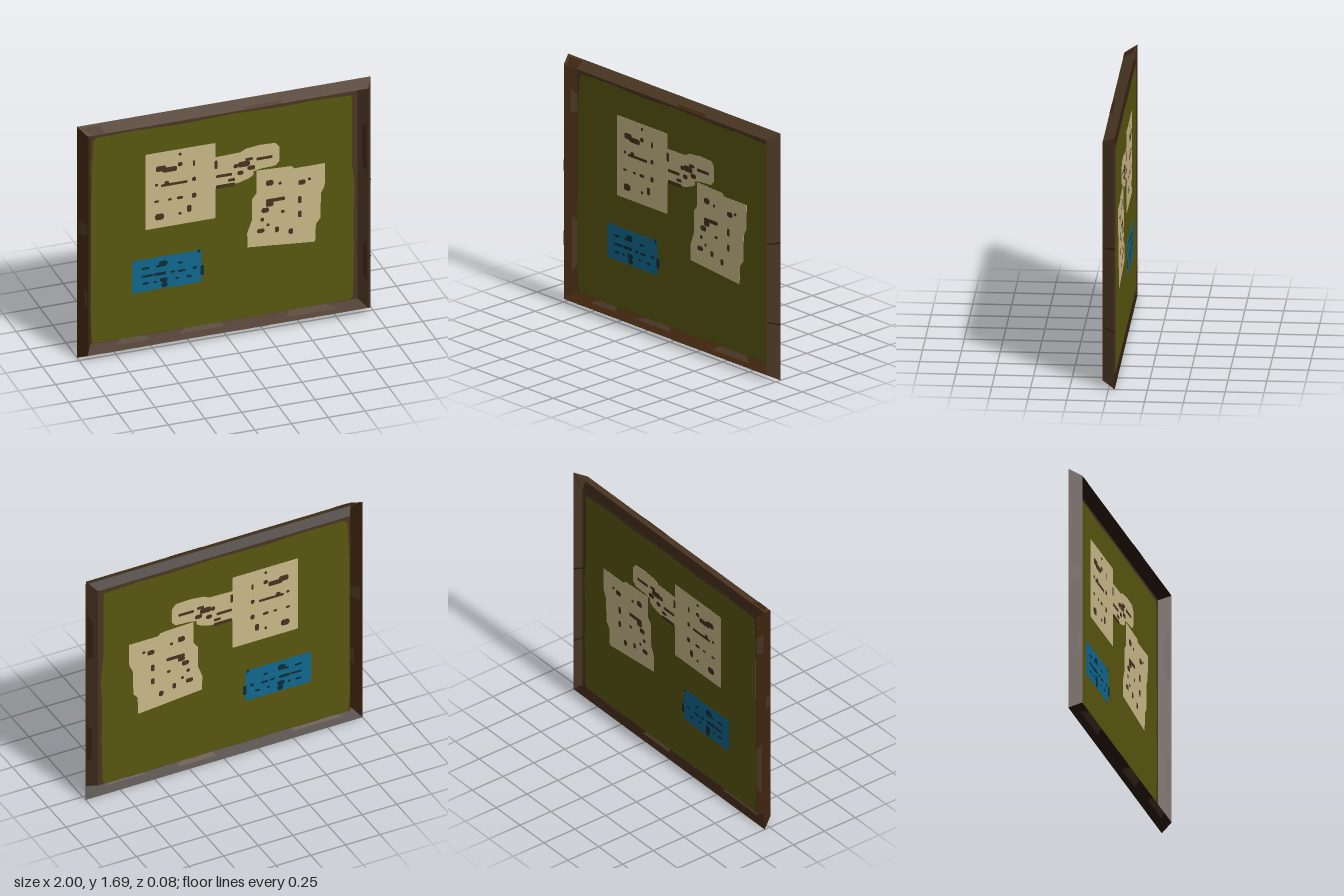
import * as THREE from 'three';

const mat = (name, color) => {
  const m = new THREE.MeshStandardMaterial({ color, side: THREE.DoubleSide });
  m.name = name;
  return m;
};

export function createModel() {
  const wood = mat('brown wood', 0x40260f);
  const worn = mat('worn wood', 0x4a3623);
  const darkWood = mat('dark wood', 0x2a190c);
  const felt = mat('olive felt', 0x58560f);
  const cream = mat('cream paper', 0xc9b988);
  const blue = mat('blue paper', 0x0f678e);
  const ink = mat('brown ink', 0x46331f);
  const blueInk = mat('dark blue ink', 0x0c2c38);

  const group = new THREE.Group();
  const add = (parent, name, geometry, material) => {
    const mesh = new THREE.Mesh(geometry, material);
    mesh.name = name;
    parent.add(mesh);
    return mesh;
  };
  const polygon = (points) => {
    const g = new THREE.BufferGeometry().setFromPoints(points);
    const index = [];
    for (let i = 1; i < points.length - 1; i++) index.push(0, i, i + 1);
    g.setIndex(index);
    g.computeVertexNormals();
    return g;
  };

  // Hollow moulding: outer slope up to a ridge, then inner slope down to the board
  const rect = (x0, x1, y0, y1, z) =>
    [[x0, y0], [x1, y0], [x1, y1], [x0, y1]].map(([x, y]) => new THREE.Vector3(x, y, z));
  const outer = rect(-1, 1, 0, 1.69, -0.04);
  const ridge = rect(-0.955, 0.955, 0.045, 1.65, 0.04);
  const inner = rect(-0.91, 0.91, 0.083, 1.608, -0.038);
  const frame = new THREE.Group();
  frame.name = 'frame';
  group.add(frame);
  const sides = ['bottom', 'right', 'top', 'left'];
  const ring = (label, a, b, mats) => sides.forEach((side, i) => {
    const j = (i + 1) % 4;
    add(frame, side + label, polygon([a[i], a[j], b[j], b[i]]), mats[i]);
  });
  ring('OuterSlope', outer, ridge, [darkWood, worn, worn, wood]);
  ring('InnerSlope', ridge, inner, [wood, worn, darkWood, wood]);

  // Worn patches lying on both faces of a slope; s runs along the side, t across it
  const patch = (a, b, i, s0, s1, t0, t1, material) => {
    const j = (i + 1) % 4;
    const at = (s, t) => a[i].clone().lerp(a[j], s).lerp(b[i].clone().lerp(b[j], s), t);
    const d = (s1 - s0) * 0.12;
    const pts = [at(s0, t0), at(s1, t0), at(s1 - d / 2, (t0 + t1) / 2), at(s1 - d, t1), at(s0 + d, t1)];
    const n = a[j].clone().sub(a[i]).cross(b[i].clone().sub(a[i])).normalize();
    for (const k of [-0.0015, 0.0015]) {
      add(frame, 'wornPatch', polygon(pts.map((p) => p.clone().addScaledVector(n, k))), material);
    }
  };
  [
    [0, 0.05, 0.24, 0.5, 1, worn], [0, 0.52, 0.66, 0.4, 1, worn], [0, 0.78, 0.93, 0.6, 1, worn],
    [1, 0.222, 0.228, 0, 1, darkWood], [1, 0.553, 0.56, 0, 1, darkWood],
    [2, 0.93, 0.99, 0.2, 1, wood], [2, 0.3, 0.45, 0.75, 1, wood],
    [3, 0.4, 0.46, 0.2, 1, worn], [3, 0.7, 0.78, 0.7, 1, worn],
  ].forEach((p) => patch(outer, ridge, ...p));
  [
    [0, 0.1, 0.22, 0.5, 1, worn], [0, 0.33, 0.5, 0.55, 1, worn], [0, 0.72, 0.9, 0.4, 1, worn],
    [1, 0.12, 0.3, 0.1, 0.5, wood], [1, 0.62, 0.85, 0.1, 0.55, wood],
    [3, 0.1, 0.2, 0.5, 1, worn], [3, 0.65, 0.9, 0.6, 1, worn],
  ].forEach((p) => patch(ridge, inner, ...p));

  // Flat layers share one middle plane, so each thicker one shows on front and back
  const plate = (parent, name, shape, thickness, material) => {
    const g = new THREE.ExtrudeGeometry(shape, { depth: thickness, bevelEnabled: false, curveSegments: 4 });
    g.translate(0, 0, -0.038 - thickness / 2);
    return add(parent, name, g, material);
  };
  const outline = (pts) => new THREE.Shape(pts.map(([x, y]) => new THREE.Vector2(x / 100, y / 100)));
  const box = (x0, x1, y0, y1, c) => outline([
    [x0 + c, y0], [x1 - c, y0], [x1, y0 + c], [x1, y1 - c],
    [x1 - c, y1], [x0 + c, y1], [x0, y1 - c], [x0, y0 + c]]);

  plate(group, 'boardEdge', box(-91, 91, 8.3, 160.8, 0), 0.001, worn);
  plate(group, 'feltBoard', outline([
    [-89.5, 8.6], [-40, 8.6], [15, 8.4], [22, 7.9], [30, 8.6], [86, 8.6], [87.8, 11], [88.4, 45],
    [88, 70], [89, 90], [87.2, 108], [87.2, 154], [86.5, 157.6], [60, 158.6], [40, 158], [5, 159],
    [-30, 158], [-60, 159], [-87, 158.4], [-89, 156], [-90.4, 130], [-90.6, 80], [-90.8, 20]]), 0.003, felt);

  // Pinned papers, in hundredths of a unit
  const papers = {
    largeSheet: { shape: box(-53.5, -6, 85, 140, 0.5), color: cream, ink },
    tornStrip: { shape: outline([
      [-6.5, 106.5], [1, 107], [10, 108], [17, 110], [20, 112], [20, 114.5], [25, 115.5], [35, 116],
      [37.8, 119], [37.8, 129], [35, 132.5], [25, 133], [15, 132], [11, 130], [-6.5, 129.5]]), color: cream, ink },
    tornSheet: { shape: outline([
      [16, 59.5], [33, 58], [43, 57], [62, 55.3], [62.5, 68], [65.5, 72], [66, 90], [68.5, 95], [68.8, 111.5],
      [47.5, 111.5], [46, 113.5], [22, 114.5], [22, 98], [19, 94], [19, 79], [15.7, 70]]), color: cream, ink },
    blueNote: { shape: box(-62.7, -15.5, 40.3, 63.7, 0.3), color: blue, ink: blueInk },
  };
  // Written marks: centre x, centre y, width, height
  const marks = {
    largeSheet: [
      [-43, 128, 7, 4], [-37, 126.5, 10, 3.5], [-30, 136.3, 2, 2], [-30, 129, 3, 3], [-20.5, 128, 1.5, 4],
      [-34, 115.5, 18, 1.8], [-39, 117, 3, 2.5], [-46, 116.5, 2, 2], [-20.5, 116.5, 2.5, 3],
      [-46, 104.5, 3, 1.5], [-37, 104.5, 2.5, 1.5], [-30, 104.5, 4, 2], [-20.5, 104.5, 3, 3.5],
      [-44, 93, 6, 4.5], [-30, 93, 2, 2], [-23.7, 95.5, 3, 5]],
    tornStrip: [
      [0, 115.2, 11, 2], [1, 107.5, 13, 2.5], [5, 111, 5, 2], [13.5, 121, 8, 4], [18.5, 117.5, 5, 3],
      [8, 120.5, 3, 3], [27.5, 123, 11, 2], [11, 115, 4, 3], [-5.5, 124, 2, 6], [17, 124, 5, 2]],
    tornSheet: [
      [31, 104, 5, 4], [38, 102.5, 2, 2], [53, 100.5, 5, 3.5], [58, 102, 2, 2], [35, 91, 13, 2.5],
      [31, 88.5, 5, 3.5], [51.5, 88, 2.5, 5], [28, 84.5, 5, 3.5], [40, 81.5, 2.5, 2], [51.5, 77.5, 2.5, 4.5],
      [26, 78, 2.5, 2.5], [25, 70, 5, 3], [36, 69, 2.5, 4], [45.5, 66, 3, 4], [30, 73.5, 2, 2]],
    blueNote: [
      [-53.5, 57, 5, 1.5], [-45, 57, 3, 1.5], [-41.5, 58.5, 5.5, 4], [-30, 57, 3, 1.5], [-52, 51.3, 8, 1.5],
      [-43.5, 51.3, 8, 2], [-35, 51.3, 3, 1.5], [-29, 51, 5, 1.5], [-20, 51.5, 2.5, 2], [-53.5, 46, 4, 1.5],
      [-47, 46, 2, 1.5], [-41, 46.5, 5, 3], [-40.5, 43, 4, 4], [-32, 46, 2, 1.5], [-24, 46, 3.5, 1.5],
      [-14.8, 48.7, 2.4, 7], [-17, 63, 2, 2]],
  };
  for (const [name, paper] of Object.entries(papers)) {
    const sheet = new THREE.Group();
    sheet.name = name;
    group.add(sheet);
    plate(sheet, name + 'Paper', paper.shape, 0.005, paper.color);
    for (const [x, y, w, h] of marks[name]) {
      plate(sheet, 'inkMark', box(x - w / 2, x + w / 2, y - h / 2, y + h / 2, Math.min(w, h) * 0.25), 0.007, paper.ink);
    }
  }
  return group;
}
